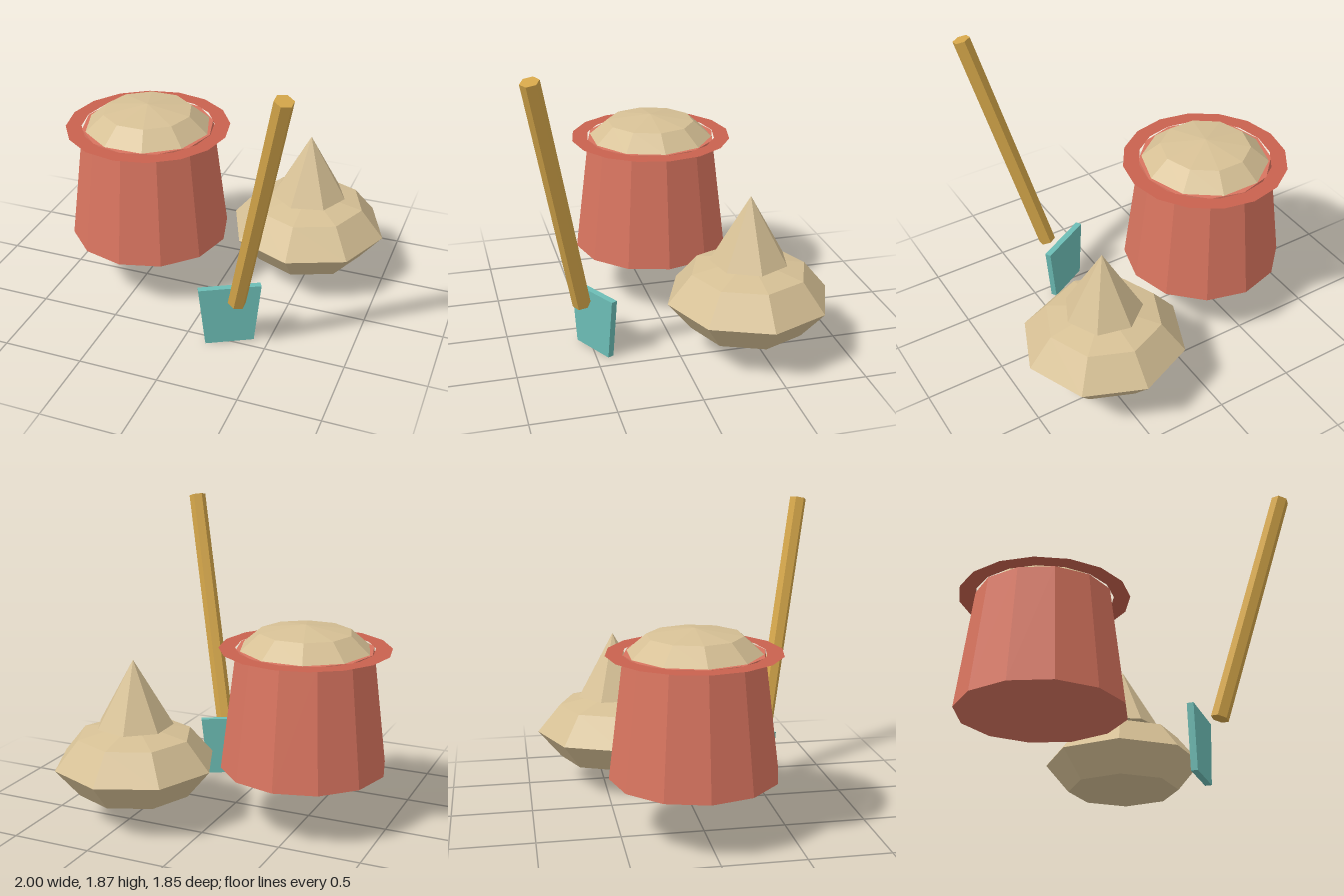
import * as THREE from 'three';

export function createModel() {
  const model = new THREE.Group();
  const mat = (color, side = THREE.FrontSide) =>
    new THREE.MeshStandardMaterial({ color, side, flatShading: true });
  const red = mat(0xd8745f);
  const rimRed = mat(0xc8614e, THREE.DoubleSide);
  const sand = mat(0xd6c095);
  const wood = mat(0xd3a549);
  const teal = mat(0x6cbdb5);

  const add = (name, geometry, material, x, y, z, parent = model) => {
    const mesh = new THREE.Mesh(geometry, material);
    mesh.name = name;
    mesh.position.set(x, y, z);
    parent.add(mesh);
    return mesh;
  };

  // Bucket: tapered body, flat rim, sand heaped on top
  const bucket = new THREE.Group();
  bucket.name = 'bucket';
  bucket.position.set(-0.48, 0, -0.055);
  model.add(bucket);
  add('bucketBody', new THREE.CylinderGeometry(0.417, 0.51, 0.74, 12), red, 0, 0.73, 0, bucket);
  const rim = add('bucketRim', new THREE.RingGeometry(0.42, 0.52, 16), rimRed, 0, 1.1, 0, bucket);
  rim.rotation.x = -Math.PI / 2;
  const heap = add('sandHeap',
    new THREE.SphereGeometry(0.4, 10, 2, 0, Math.PI * 2, 0, Math.PI / 2), sand, 0, 1.1, 0, bucket);
  heap.scale.y = 0.36;

  // Sand pile: squashed eight-sided ball with a seven-sided peak
  const pile = new THREE.Group();
  pile.name = 'sandPile';
  pile.position.set(0.49, 0, -0.425);
  model.add(pile);
  const mound = add('mound', new THREE.SphereGeometry(0.505, 8, 4), sand, 0, 0.36, 0, pile);
  mound.scale.y = 0.5;
  const peak = add('peak', new THREE.ConeGeometry(0.24, 0.41, 7), sand, 0, 0.805, 0, pile);
  peak.rotation.y = Math.PI / 2;

  // Shovel handle: hexagonal rod between two points
  const low = new THREE.Vector3(0.345, 0.355, 0.575);
  const high = new THREE.Vector3(0.685, 1.85, 0.87);
  const axis = high.clone().sub(low);
  const mid = low.clone().add(high).multiplyScalar(0.5);
  const handle = add('shovelHandle',
    new THREE.CylinderGeometry(0.055, 0.055, axis.length(), 6), wood, mid.x, mid.y, mid.z);
  handle.quaternion.setFromUnitVectors(new THREE.Vector3(0, 1, 0), axis.normalize());

  // Shovel blade: tapered plate
  const outline = new THREE.Shape([[-0.15, 0], [0.15, 0], [0.192, 0.39], [-0.192, 0.39]]
    .map(([x, y]) => new THREE.Vector2(x, y)));
  const plate = new THREE.ExtrudeGeometry(outline, { depth: 0.04, bevelEnabled: false });
  plate.translate(0, 0, -0.02);
  const blade = add('shovelBlade', plate, teal, 0.267, 0, 0.485);
  blade.rotation.y = 0.5;

  return model;
}
